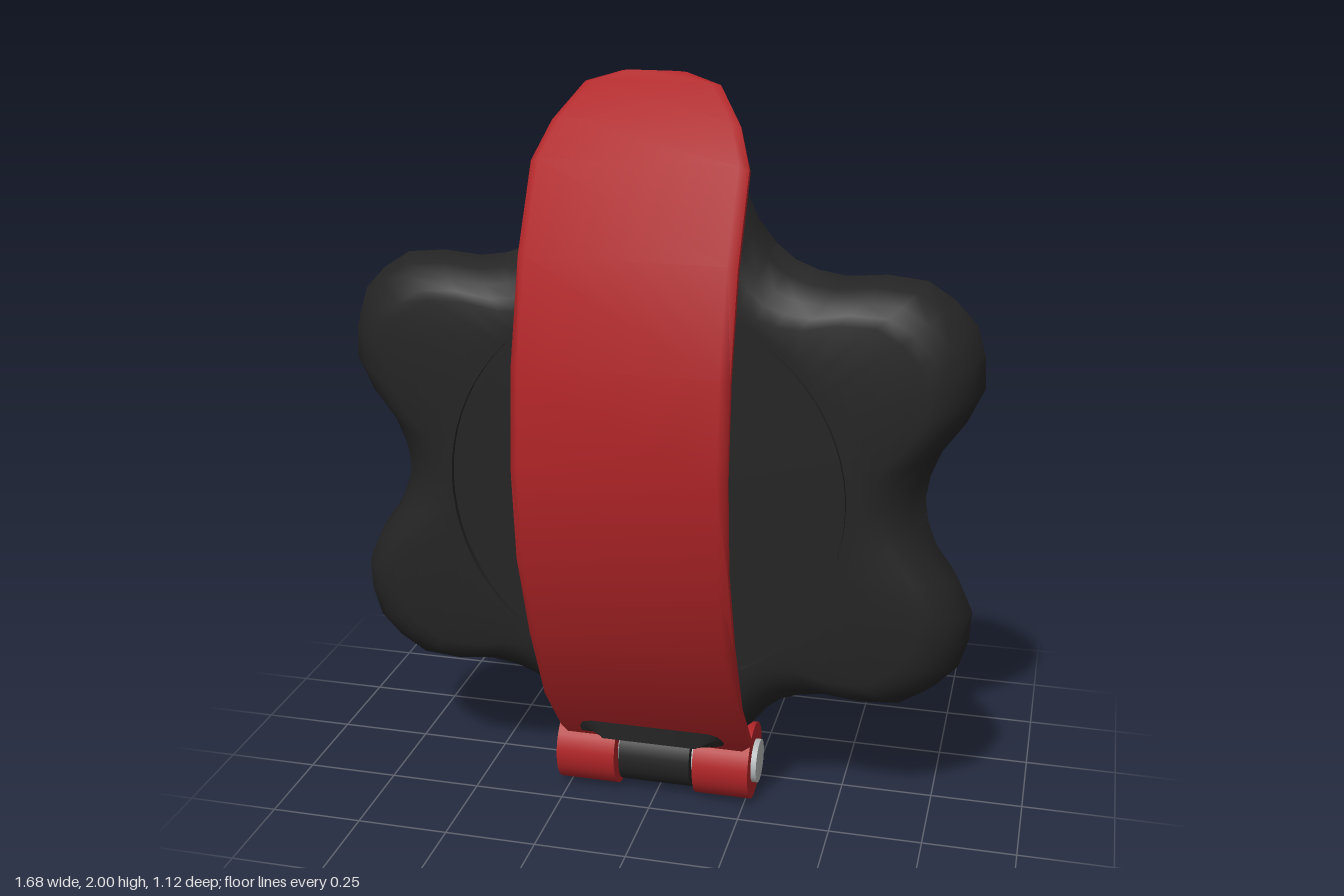
import * as THREE from 'three';
import { toCreasedNormals } from 'three/addons/utils/BufferGeometryUtils.js';

const mat = (name, color, side = THREE.FrontSide) => {
  const m = new THREE.MeshStandardMaterial({ color, side });
  m.name = name;
  return m;
};

// Skin closed rings of points; each end is closed with a fan to its centre
function loft(rings, crease) {
  const centre = (ring) => {
    const c = ring.reduce((s, p) => s.add(p), new THREE.Vector3()).divideScalar(ring.length);
    return ring.map(() => c);
  };
  const all = [centre(rings[0]), ...rings, centre(rings[rings.length - 1])];
  const n = rings[0].length, index = [];
  for (let i = 0; i < all.length - 1; i++) {
    for (let j = 0; j < n; j++) {
      const k = (j + 1) % n;
      const a = i * n + j, b = a + n, c = (i + 1) * n + k, d = i * n + k;
      if (i > 0) index.push(a, c, d);
      else { index.push(a, b, c); continue; }
      if (i < all.length - 2) index.push(a, b, c);
    }
  }
  const g = new THREE.BufferGeometry().setFromPoints(all.flat());
  g.setIndex(index);
  return toCreasedNormals(g, crease);
}

// Hexagon outline with a point at +x and slightly cut corners
function hexagon(target, radius, cut = 0.06) {
  for (let i = 0; i < 6; i++) {
    for (const s of [-1, 1]) {
      const a = i * Math.PI / 3 + s * cut;
      const r = radius * Math.cos(Math.PI / 6) / Math.cos(Math.PI / 6 - cut);
      const x = r * Math.cos(a), y = r * Math.sin(a);
      if (i === 0 && s < 0) target.moveTo(x, y);
      else target.lineTo(x, y);
    }
  }
  target.closePath();
  return target;
}

function hexRing(outer, inner, depth) {
  const shape = hexagon(new THREE.Shape(), outer);
  shape.holes.push(hexagon(new THREE.Path(), inner));
  return new THREE.ExtrudeGeometry(shape, { depth, bevelEnabled: false });
}

export function createModel() {
  const model = new THREE.Group();
  model.name = 'clampKnob';
  const black = mat('black plastic', 0x242424);
  const red = mat('red plastic', 0xb02427);
  const steel = mat('steel', 0xb4b8b8);
  const CY = 0.925;
  const add = (name, geometry, material, x = 0, y = 0, z = 0) => {
    const m = new THREE.Mesh(geometry, material);
    m.name = name;
    m.position.set(x, y, z);
    model.add(m);
    return m;
  };

  // Six-lobed knob: radius every 5 degrees from the lobe tip to the valley
  const lobe = [0.935, 0.92, 0.892, 0.825, 0.75, 0.715, 0.703];
  const mix = THREE.MathUtils.lerp;
  // Rings from front to back as [radius, z], given edge radius r and lobe weight w
  const profile = (r, w) => [
    [0.515, 0.25], [0.515, 0.235], [0.535, 0.235], [0.535, 0.25],
    [r - 0.142, 0.25], [r - 0.105, 0.241], [r - 0.065, 0.219], [r - 0.025, 0.175],
    [r, 0.105], [r - 0.025, 0.045], [r - 0.065, mix(0.015, -0.01, w)],
    [r - 0.105, mix(0.003, -0.031, w)], [r - 0.142, mix(-0.01, -0.04, w)],
    [0.52, mix(-0.03, -0.042, w)], [0.25, -0.09],
  ];
  const columns = [];
  for (let deg = 0; deg < 360; deg += 5) {
    const r = lobe[Math.abs(deg % 60 - 30) / 5];
    const a = THREE.MathUtils.degToRad(deg);
    // the lowest lobe is cut flat above the hinge
    columns.push(profile(r, (r - 0.703) / 0.232).map(([q, z]) =>
      new THREE.Vector3(q * Math.cos(a), Math.max(q * Math.sin(a), 0.2 - CY), z)));
  }
  const rings = columns[0].map((_, i) => columns.map((c) => c[i]));
  add('knob', loft(rings, 0.7), black, 0, CY, 0);

  // Threaded stem, hollow nut behind, and small nut on the front
  const stem = add('stem', new THREE.CylinderGeometry(0.25, 0.25, 0.46, 40), black, 0, CY, -0.3);
  stem.rotation.x = Math.PI / 2;
  add('hexNut', hexRing(0.368, 0.35, 0.39), steel, 0, CY + 0.005, -0.562);
  add('frontNut', hexRing(0.135, 0.09, 0.012), steel, 0, CY, 0.248);

  // Curved lever as [z, y, half width, half thickness], from the tip down
  const path = [
    [0.155, 1.995, 0.08, 0.005], [0.175, 1.968, 0.17, 0.01], [0.245, 1.88, 0.235, 0.019],
    [0.31, 1.79, 0.27, 0.025], [0.43, 1.58, 0.27, 0.027], [0.505, 1.33, 0.27, 0.027],
    [0.53, 1.08, 0.27, 0.027], [0.505, 0.83, 0.27, 0.027], [0.42, 0.59, 0.27, 0.027],
    [0.31, 0.36, 0.27, 0.025], [0.155, 0.175, 0.27, 0.025],
  ];
  const leverRings = path.map(([z, y, w, t], i) => {
    const p = path[Math.max(i - 1, 0)], q = path[Math.min(i + 1, path.length - 1)];
    const len = Math.hypot(q[0] - p[0], q[1] - p[1]);
    const nz = (p[1] - q[1]) / len, ny = (q[0] - p[0]) / len;
    const v = w - 0.022;
    return [[w, -0.35], [v, -1], [-v, -1], [-w, -0.35], [-w, 0.35], [-v, 1], [v, 1], [w, 0.35]]
      .map(([x, k]) => new THREE.Vector3(x, y + ny * k * t, z + nz * k * t));
  });
  add('lever', loft(leverRings, 0.9), red);

  // Hinge: two lever knuckles, the knob's middle knuckle with its arm, and a pin
  const barrel = (name, radius, length, material, x) => {
    const m = add(name, new THREE.CylinderGeometry(radius, radius, length, 32), material, x, 0.106, 0.106);
    m.rotation.z = Math.PI / 2;
  };
  barrel('leverKnuckleLeft', 0.106, 0.155, red, 0.19);
  barrel('leverKnuckleRight', 0.106, 0.165, red, -0.192);
  barrel('knobKnuckle', 0.092, 0.2, black, 0);
  barrel('hingePin', 0.06, 0.565, steel, 0);
  add('hingeArm', new THREE.BoxGeometry(0.2, 0.22, 0.13), black, 0, 0.21, 0.075);

  return model;
}
